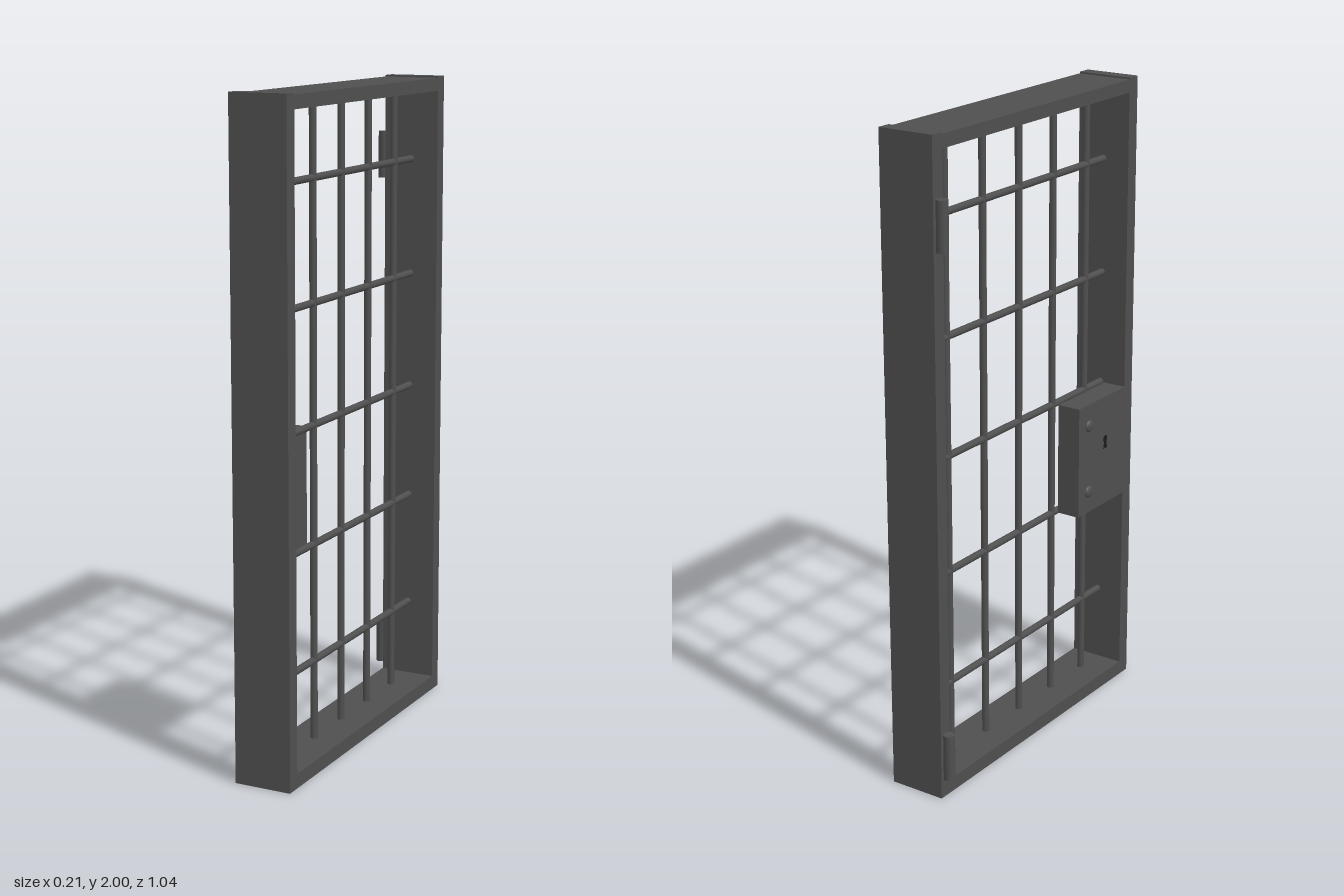
import * as THREE from 'three';

export function createModel() {
  const model = new THREE.Group();
  model.name = 'barredDoor';
  const iron = new THREE.MeshStandardMaterial({ color: 0x4f4f4f });
  iron.name = 'dark iron';
  const black = new THREE.MeshStandardMaterial({ color: 0x1c1c1c });
  black.name = 'keyhole black';

  const add = (name, geometry, x, y, z, material = iron) => {
    const mesh = new THREE.Mesh(geometry, material);
    mesh.name = name;
    mesh.position.set(x, y, z);
    model.add(mesh);
    return mesh;
  };

  const midX = 0.015, depth = 0.18, rail = 0.045;

  // Frame: two full-height stiles with rails between them
  for (const side of [-1, 1]) {
    add(side > 0 ? 'frontStile' : 'backStile',
      new THREE.BoxGeometry(depth, 2, rail), midX, 1, side * (0.52 - rail / 2));
  }
  add('bottomRail', new THREE.BoxGeometry(depth, rail, 0.95), midX, rail / 2, 0);
  add('topRail', new THREE.BoxGeometry(depth, 0.04, 0.95), midX, 1.975, 0);

  // Grid of round bars
  const barRadius = 0.011;
  const upright = new THREE.CylinderGeometry(barRadius, barRadius, 1.93, 12);
  const cross = new THREE.CylinderGeometry(barRadius, barRadius, 0.97, 12).rotateX(Math.PI / 2);
  for (let i = 0; i < 5; i++) {
    add('uprightBar', upright, midX, 1, 0.376 - i * 0.181);
    add('crossBar', cross, midX, 0.292 + i * 0.3625, 0);
  }

  // Lock case set between the bars and the rear edge of the frame
  add('lockCase', new THREE.BoxGeometry(0.077, 0.36, 0.268), -0.0385, 0.835, 0.344);

  // Domed rivets on the lock case
  const dome = new THREE.SphereGeometry(0.02, 16, 8, 0, Math.PI * 2, 0, Math.PI / 2)
    .scale(1, 0.5, 1).rotateZ(Math.PI / 2);
  for (const y of [0.725, 0.945]) add('lockRivet', dome, -0.077, y, 0.267);

  // Keyhole: round top with a flared slot
  const hole = new THREE.Shape();
  hole.moveTo(-0.012, -0.032);
  hole.lineTo(0.012, -0.032);
  hole.lineTo(0.006, -0.008);
  hole.absarc(0, 0, 0.012, -Math.PI / 3, Math.PI * 4 / 3, false);
  hole.closePath();
  const keyhole = add('keyhole', new THREE.ShapeGeometry(hole, 10), -0.0785, 0.875, 0.36, black);
  keyhole.rotation.y = -Math.PI / 2;

  // Hinge barrels
  const barrel = new THREE.CylinderGeometry(0.0175, 0.0175, 0.147, 20);
  for (const y of [0.137, 1.75]) add('hingeBarrel', barrel, -0.0915, y, -0.501);

  return model;
}
